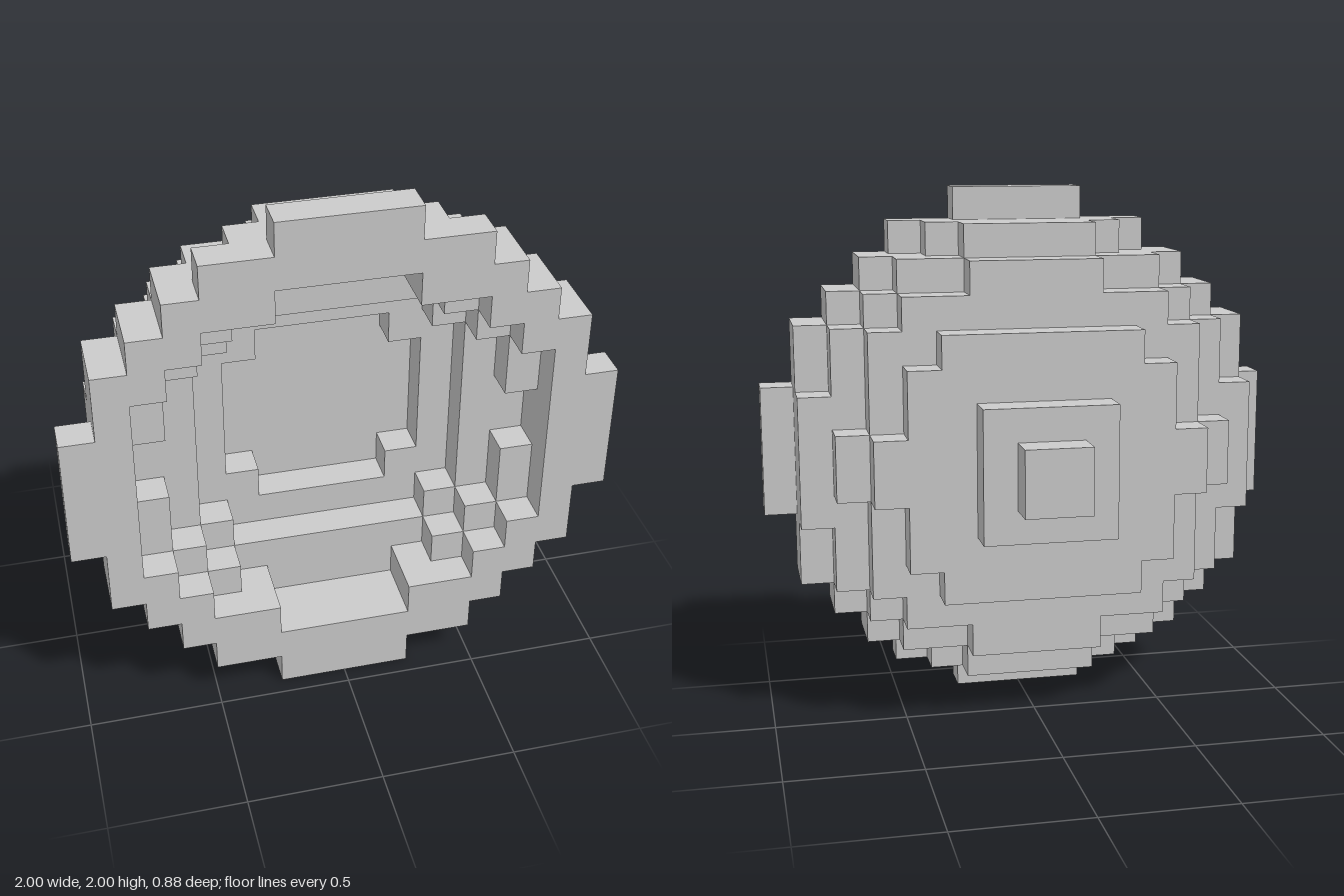
import * as THREE from 'three';

const U = 0.125; // edge of one block

// Stepped outline from [halfWidth, halfHeight] corners, widest first, mirrored to four quadrants.
function steppedLoop(steps) {
  const quadrant = [];
  let y = 0;
  for (const [hx, hy] of steps) {
    if (y > 0) quadrant.push([hx, y]);
    quadrant.push([hx, hy]);
    y = hy;
  }
  const back = [...quadrant].reverse();
  return [
    ...quadrant,
    ...back.map(([a, b]) => [-a, b]),
    ...quadrant.map(([a, b]) => [-a, -b]),
    ...back.map(([a, b]) => [a, -b]),
  ].map(([a, b]) => new THREE.Vector2(a * U, b * U));
}

// Slices one block thick, from the open front rim to the tip at the back.
const LAYERS = [
  { name: 'frontRim',
    outer: [[8, 2], [7, 4], [6, 5], [5, 6], [4, 7], [2, 8]],
    hole: [[6, 3], [5, 4], [4, 5], [2, 6]] },
  { name: 'outerWall',
    outer: [[7, 4], [6, 5], [5, 6], [3, 7]],
    hole: [[6, 1], [5, 3], [4, 4], [3, 5], [2, 6]] },
  { name: 'middleWall',
    outer: [[7, 2], [6, 4], [5, 5], [4, 6], [2, 7]],
    hole: [[4, 3], [3, 4]] },
  { name: 'innerWall',
    outer: [[6, 1], [5, 4], [4, 5], [2, 6]],
    hole: [[3, 2], [2, 3]] },
  { name: 'dishFloor', outer: [[5, 1], [4, 3], [3, 4]] },
  { name: 'backBoss', outer: [[2, 2]] },
  { name: 'backTip', outer: [[1, 1]] },
];

export function createModel() {
  const group = new THREE.Group();
  group.name = 'steppedDish';
  const material = new THREE.MeshStandardMaterial({ color: 0xcccccc, flatShading: true });

  LAYERS.forEach(({ name, outer, hole }, i) => {
    const shape = new THREE.Shape(steppedLoop(outer));
    if (hole) shape.holes.push(new THREE.Path(steppedLoop(hole)));
    const geometry = new THREE.ExtrudeGeometry(shape, { depth: U, bevelEnabled: false });
    const mesh = new THREE.Mesh(geometry, material);
    mesh.name = name;
    mesh.position.set(0, 1, (LAYERS.length / 2 - 1 - i) * U);
    group.add(mesh);
  });
  return group;
}
